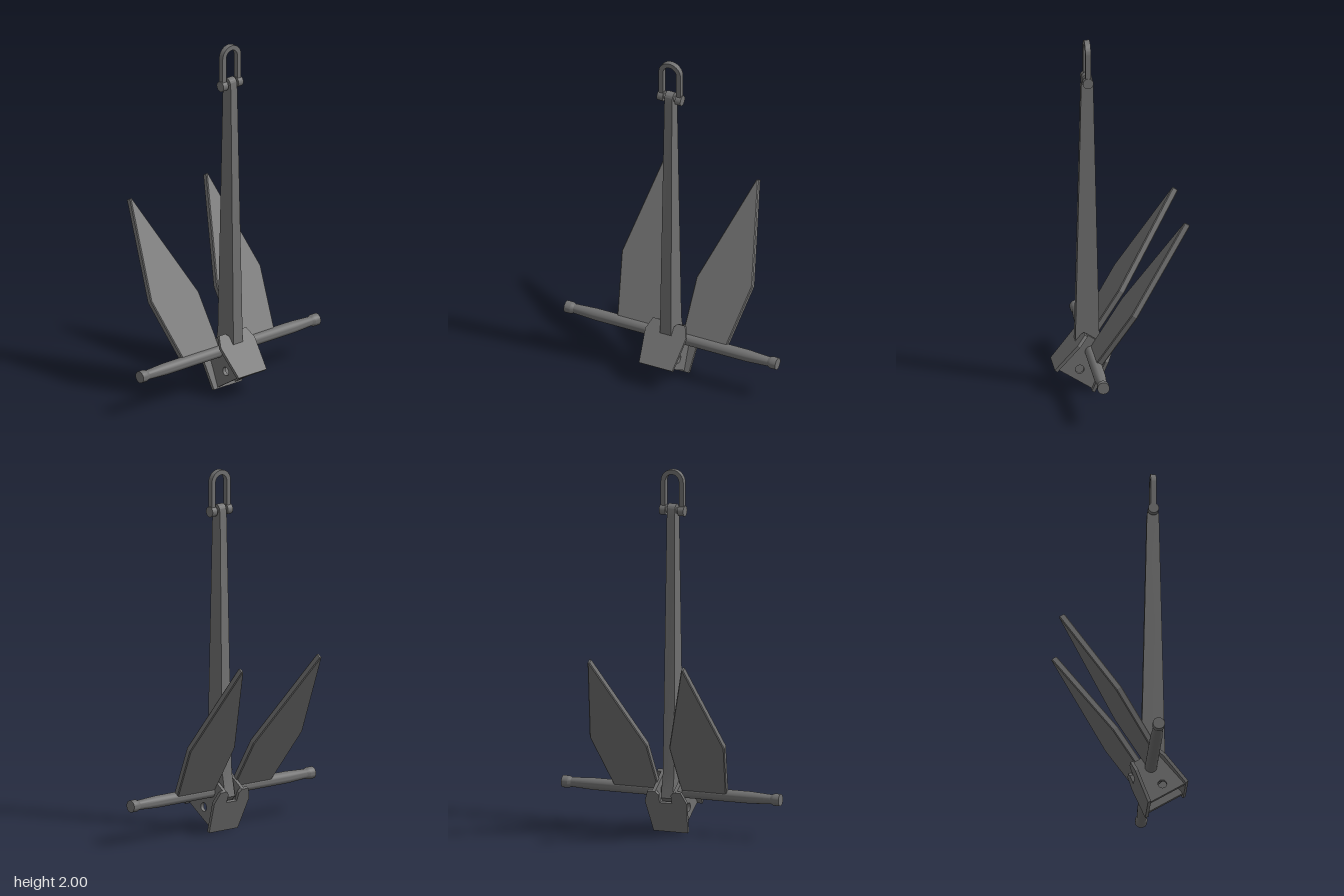
import * as THREE from 'three';
import { toCreasedNormals } from 'three/addons/utils/BufferGeometryUtils.js';

const material = new THREE.MeshStandardMaterial({ color: 0x707070 });
const PIVOT = { y: 0.228, z: 0.155 };
const SHANK_Z = 0.17;

function add(parent, name, geometry, x = 0, y = 0, z = 0) {
  const mesh = new THREE.Mesh(geometry, material);
  mesh.name = name;
  mesh.position.set(x, y, z);
  parent.add(mesh);
  return mesh;
}

const outline = (points) => new THREE.Shape(points.map(([a, b]) => new THREE.Vector2(a, b)));

// Flat plate centred on its own thickness, with optional chamfered edges
function plate(shape, thickness, chamfer = 0) {
  const depth = thickness - 2 * chamfer;
  const g = new THREE.ExtrudeGeometry(shape, {
    depth, curveSegments: 16, bevelEnabled: chamfer > 0, bevelSegments: 1,
    bevelThickness: chamfer, bevelSize: chamfer, bevelOffset: -chamfer,
  });
  return g.translate(0, 0, -depth / 2);
}

// Plate whose outline is given as (z, y), with its thickness along x
const sidePlate = (shape, thickness) => plate(shape, thickness).rotateY(-Math.PI / 2);

function addShank(anchor) {
  const head = { y: 1.782, r: 0.029 };
  const shape = outline([[0.08, 0.2], [0.11, 0.17], [0.2, 0.17], [0.236, 0.21], [0.236, 0.28], [0.203, 1.745]]);
  shape.lineTo(SHANK_Z + head.r, head.y);
  shape.absarc(SHANK_Z, head.y, head.r, 0, Math.PI, false);
  shape.lineTo(0.137, 1.745);
  shape.lineTo(0.106, 0.33);
  const geometry = sidePlate(shape, 1);
  // Narrow the shank towards its head
  const p = geometry.attributes.position;
  for (let i = 0; i < p.count; i++) {
    const t = Math.min(1, Math.max(0, (p.getY(i) - 0.2) / 1.55));
    p.setX(i, p.getX(i) * THREE.MathUtils.lerp(0.068, 0.046, t));
  }
  geometry.computeVertexNormals();
  add(anchor, 'shank', toCreasedNormals(geometry, 0.5));
}

function addShackle(anchor) {
  const shackle = new THREE.Group();
  shackle.name = 'shackle';
  shackle.position.set(0, 1.775, SHANK_Z);
  // Flat bar bent into a U
  const outer = 0.066, inner = 0.04, archY = 0.159;
  const bow = outline([[outer, 0], [outer, archY]]);
  bow.absarc(0, archY, outer, 0, Math.PI, false);
  bow.lineTo(-outer, 0);
  bow.lineTo(-inner, 0);
  bow.lineTo(-inner, archY);
  bow.absarc(0, archY, inner, Math.PI, 0, true);
  bow.lineTo(inner, 0);
  add(shackle, 'bow', toCreasedNormals(plate(bow, 0.03), 0.5));
  add(shackle, 'pin', new THREE.CylinderGeometry(0.016, 0.016, 0.13, 16).rotateZ(Math.PI / 2));
  for (const s of [-1, 1]) {
    add(shackle, 'shackleEye', new THREE.CylinderGeometry(0.029, 0.029, 0.034, 20).rotateZ(Math.PI / 2), s * 0.054);
  }
  anchor.add(shackle);
}

function addStock(anchor) {
  const half = [[0.033, 0.46], [0.026, 0.585], [0.033, 0.602], [0.033, 0.637], [0, 0.637]];
  const profile = [...half.map(([r, x]) => [r, -x]).reverse(), ...half];
  const geometry = new THREE.LatheGeometry(profile.map(([r, x]) => new THREE.Vector2(r, x)), 32);
  add(anchor, 'stock', toCreasedNormals(geometry.rotateZ(-Math.PI / 2), 0.4), 0, PIVOT.y, PIVOT.z);
}

function addFlukes(anchor) {
  const half = [[0.065, 0.015], [0.065, 0.34], [0.268, 0.935], [0.28, 0.935], [0.394, 0.37], [0.328, 0.015]];
  for (const s of [-1, 1]) {
    const fluke = add(anchor, s > 0 ? 'leftFluke' : 'rightFluke',
      plate(outline(half.map(([x, t]) => [s * x, t])), 0.036, 0.005), 0, PIVOT.y, PIVOT.z);
    fluke.rotation.x = -0.563;
  }
}

function addCrown(anchor) {
  const crown = new THREE.Group();
  crown.name = 'crown';

  // Front and back plates, notched for the shank
  const half = [[0.1, 0], [0.122, 0.19], [0.097, 0.256], [0.052, 0.256], [0.036, 0.235], [0.036, 0.185]];
  const shape = outline([...half, ...half.map(([x, t]) => [-x, t]).reverse()]);
  const thickness = 0.018;
  const front = add(crown, 'frontCrownPlate', plate(shape, thickness).translate(0, 0, -thickness / 2), 0, 0.14, 0.356);
  front.rotation.x = -0.7;
  const back = add(crown, 'backCrownPlate', plate(shape, thickness).translate(0, 0, thickness / 2), 0, 0.004, 0.137);
  back.rotation.x = -0.383;

  // Side plates with a round hole
  const side = outline([[0.344, 0.139], [0.18, 0.329], [0.05, 0.245], [0.145, 0.014]]);
  const hole = new THREE.Path();
  hole.absarc(0.217, 0.13, 0.024, 0, Math.PI * 2, true);
  side.holes.push(hole);
  for (const s of [-1, 1]) {
    add(crown, s > 0 ? 'leftCrownSide' : 'rightCrownSide', sidePlate(side, 0.02), s * 0.062);
  }
  anchor.add(crown);
}

export function createModel() {
  const anchor = new THREE.Group();
  anchor.name = 'anchor';
  addShank(anchor);
  addShackle(anchor);
  addStock(anchor);
  addFlukes(anchor);
  addCrown(anchor);
  return anchor;
}
